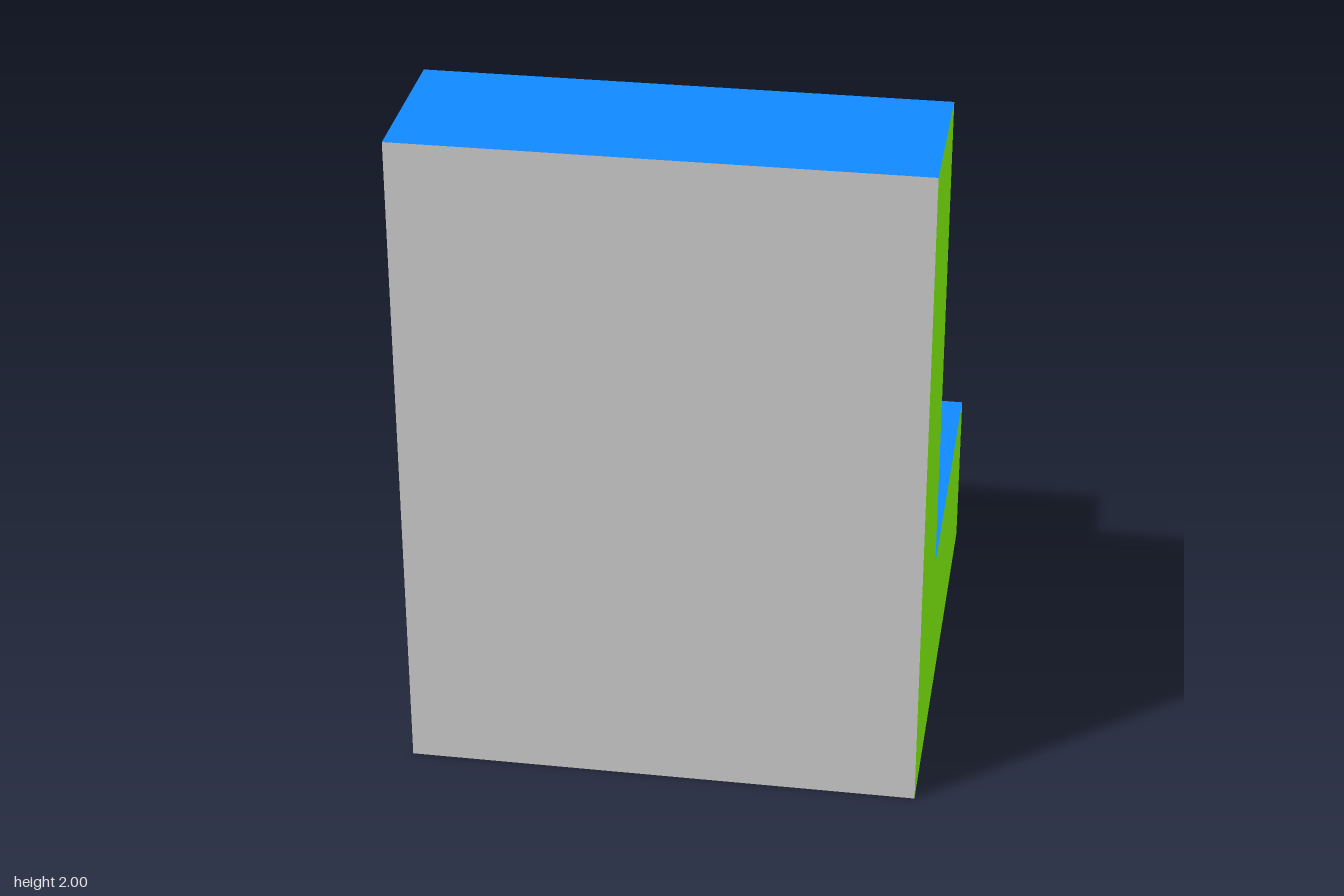
import * as THREE from 'three';

const material = (name, color) => new THREE.MeshStandardMaterial({ name, color, flatShading: true });

// Splits a geometry into material groups; pick(normal, centre) gives a material index, or -1 to drop a hidden face
function paintFaces(geometry, pick) {
  const g = geometry.index ? geometry.toNonIndexed() : geometry;
  g.clearGroups();
  const p = g.attributes.position;
  const tri = new THREE.Triangle(), n = new THREE.Vector3(), c = new THREE.Vector3();
  for (let i = 0; i < p.count; i += 3) {
    tri.setFromAttributeAndIndices(p, i, i + 1, i + 2);
    tri.getNormal(n);
    tri.getMidpoint(c);
    const m = pick(n, c);
    if (m >= 0) g.addGroup(i, 3, m);
  }
  return g;
}

export function createModel() {
  const group = new THREE.Group();
  group.name = 'steppedBlock';
  const GREY = 0, GREEN = 1, BLUE = 2, TAN = 3;
  const materials = [
    material('grey', 0xcccccc), material('green', 0x88ff11),
    material('blue', 0x1188ff), material('tan', 0xffcc70),
  ];

  // Tops are blue, left sides green, backs tan, the rest grey
  const byDirection = (n) =>
    n.y > 0.5 ? BLUE : n.x > 0.5 ? GREEN : n.z < -0.5 ? TAN : GREY;

  // Base and front wall: one L-shaped profile (z, y) extruded across x
  const profile = new THREE.Shape([
    [-0.75, 0], [0.75, 0], [0.75, 2], [0.25, 2], [0.25, 0.5], [-0.75, 0.5],
  ].map(([z, y]) => new THREE.Vector2(z, y)));
  const body = new THREE.ExtrudeGeometry(profile, { depth: 1.5, bevelEnabled: false });
  body.rotateY(-Math.PI / 2).translate(0.75, 0, 0);
  const wallIsBlue = (n, c) => (n.z < -0.5 && c.z > 0 ? BLUE : byDirection(n));
  const baseAndWall = new THREE.Mesh(paintFaces(body, wallIsBlue), materials);
  baseAndWall.name = 'baseAndWall';
  group.add(baseAndWall);

  // Post standing on the base against the wall; its two contact faces are left out
  const box = new THREE.BoxGeometry(0.5, 1, 0.5).translate(0, 1, 0);
  const exposed = (n) => (n.y < -0.5 || n.z > 0.5 ? -1 : byDirection(n));
  const post = new THREE.Mesh(paintFaces(box, exposed), materials);
  post.name = 'post';
  group.add(post);

  return group;
}
